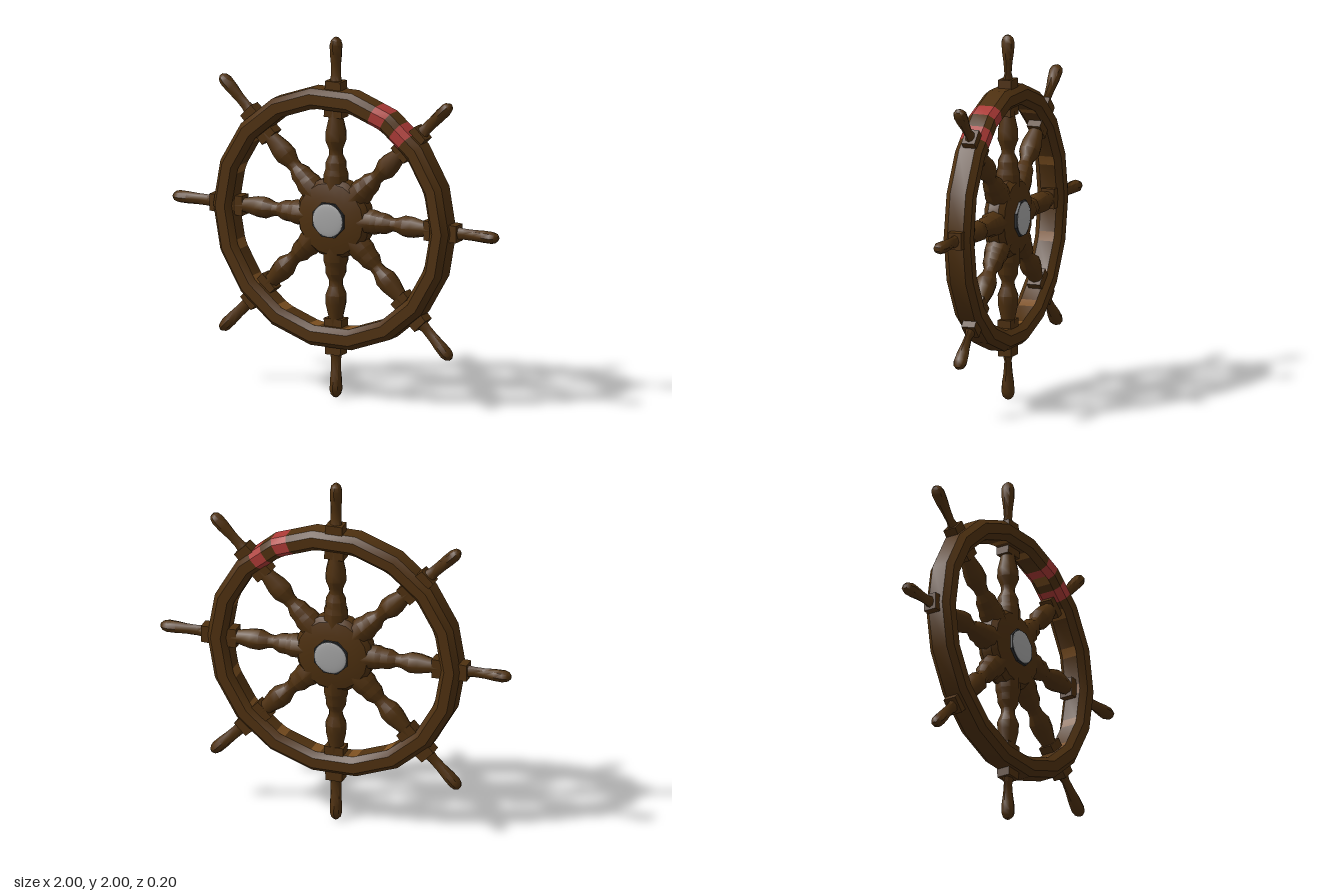
import * as THREE from 'three';
import { toCreasedNormals } from 'three/addons/utils/BufferGeometryUtils.js';

const material = (name, color, side = THREE.FrontSide) => {
  const m = new THREE.MeshStandardMaterial({ color, side });
  m.name = name;
  return m;
};
const wood = material('dark wood', 0x4f3110);
const red = material('red paint', 0xac3a36);
const iron = material('dark iron', 0x2b2d30);
const steel = material('grey steel', 0xa6a6a6);
const trimWood = material('light wood', 0x7d5020, THREE.DoubleSide);

function part(name, geometry, mat) {
  const mesh = new THREE.Mesh(geometry, mat);
  mesh.name = name;
  return mesh;
}

// Rim: bevelled section swept round an 18-sided ring, two slices painted red
function rimGeometry() {
  const section = [[0.725, -0.045], [0.725, 0.045], [0.697, 0.077], [0.64, 0.077],
    [0.612, 0.045], [0.612, -0.045], [0.64, -0.077], [0.697, -0.077]];
  const step = 20, bands = [[46.7, 53.5], [60, 67.3]];
  const angles = [...new Set([...Array.from({ length: 19 }, (_, i) => i * step), ...bands.flat()])]
    .sort((a, b) => a - b);
  const rad = THREE.MathUtils.degToRad;
  const point = (deg, [r, z]) => {
    const mid = Math.floor(deg / step) * step + step / 2;
    const s = r * Math.cos(rad(step / 2)) / Math.cos(rad(deg - mid)); // keep chords straight
    return [s * Math.cos(rad(deg)), s * Math.sin(rad(deg)), z];
  };
  const positions = [];
  const geometry = new THREE.BufferGeometry();
  for (let i = 0; i < angles.length - 1; i++) {
    const [a, b] = [angles[i], angles[i + 1]];
    const start = positions.length / 3;
    section.forEach((p, j) => {
      const q = section[(j + 1) % section.length];
      positions.push(...point(a, p), ...point(b, p), ...point(b, q));
      positions.push(...point(a, p), ...point(b, q), ...point(a, q));
    });
    const painted = bands.some(([lo, hi]) => a >= lo && b <= hi);
    geometry.addGroup(start, section.length * 6, painted ? 1 : 0);
  }
  geometry.setAttribute('position', new THREE.Float32BufferAttribute(positions, 3));
  return toCreasedNormals(geometry, 0.5);
}

// Turned bar along y from rings of [height, half width, half depth]
function turned(rings, sides = 8) {
  const geometry = new THREE.LatheGeometry(rings.map(([y, w]) => new THREE.Vector2(w, y)), sides);
  const pos = geometry.attributes.position;
  for (let i = 0; i < pos.count; i++) {
    const [, w, d = w] = rings[i % rings.length];
    if (w > 0) pos.setZ(i, pos.getZ(i) * d / w);
  }
  return toCreasedNormals(geometry, 0.8);
}

function createSpoke() {
  const spoke = new THREE.Group();
  spoke.name = 'spoke';
  const baluster = turned([[0.15, 0.07], [0.24, 0.07], [0.27, 0.06], [0.31, 0.058], [0.35, 0.038],
    [0.38, 0.04], [0.43, 0.06], [0.48, 0.058], [0.55, 0.042], [0.64, 0.036]]);
  const handle = turned([[0.7, 0.045, 0.036], [0.755, 0.036, 0.028], [0.79, 0.031, 0.017],
    [0.85, 0.031, 0.024], [0.91, 0.034, 0.035], [0.96, 0.034, 0.039], [0.985, 0.027, 0.031],
    [1, 0.012, 0.014], [1, 0, 0]]);
  spoke.add(part('baluster', baluster, wood), part('handle', handle, wood));

  // Tapered block where the spoke passes through the rim
  const block = new THREE.BoxGeometry(0.11, 0.2, 0.076);
  const pos = block.attributes.position;
  for (let i = 0; i < pos.count; i++) if (pos.getY(i) > 0) pos.setX(i, pos.getX(i) * 0.85);
  block.computeVertexNormals();
  block.translate(0, 0.66, 0);
  spoke.add(part('rimBlock', block, wood));
  return spoke;
}

export function createModel() {
  const wheel = new THREE.Group();
  wheel.name = 'shipWheel';

  const rim = part('rim', rimGeometry(), [wood, red]);
  rim.position.z = 0.012;
  wheel.add(rim);

  // Thin inlay that surfaces at the inner corners of the rim
  const inlay = new THREE.CylinderGeometry(0.6085, 0.6085, 0.09, 72, 1, true).rotateX(Math.PI / 2);
  inlay.translate(0, 0, 0.012);
  wheel.add(part('innerInlay', inlay, trimWood));

  for (let i = 0; i < 8; i++) {
    const spoke = createSpoke();
    spoke.rotation.z = i * Math.PI / 4;
    wheel.add(spoke);
  }

  // Hub with bevelled edges
  const profile = [[0, -0.078], [0.13, -0.078], [0.2, -0.06], [0.222, -0.03],
    [0.222, 0.03], [0.2, 0.06], [0.13, 0.078], [0, 0.078]];
  const hub = new THREE.LatheGeometry(profile.map(([r, y]) => new THREE.Vector2(r, y)), 16);
  wheel.add(part('hub', toCreasedNormals(hub.rotateX(Math.PI / 2), 0.5), wood));

  // Octagonal axle plate with a shallow dome on each end
  const plate = new THREE.CylinderGeometry(0.102, 0.102, 0.184, 8).rotateY(Math.PI / 8).rotateX(Math.PI / 2);
  wheel.add(part('axlePlate', toCreasedNormals(plate, 0.5), iron));
  for (const side of [1, -1]) {
    const dome = new THREE.SphereGeometry(0.092, 24, 8, 0, Math.PI * 2, 0, Math.PI / 2);
    dome.scale(1, 0.1, 1).rotateX(side * Math.PI / 2).translate(0, 0, side * 0.0925);
    wheel.add(part('axleDome', dome, steel));
  }

  wheel.position.y = 1;
  const model = new THREE.Group();
  model.name = 'model';
  model.add(wheel);
  return model;
}
